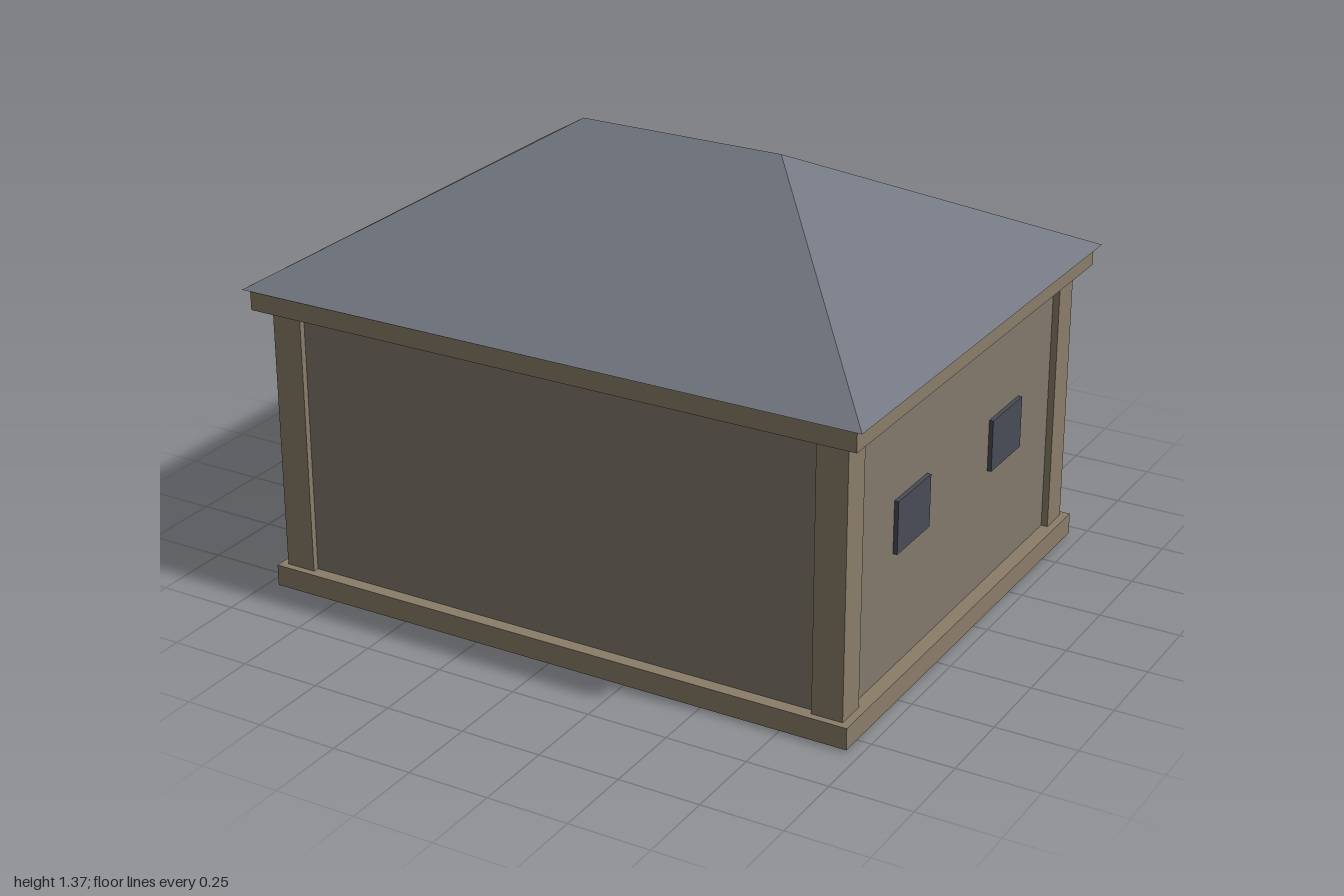
import * as THREE from 'three';

const mat = (color) => new THREE.MeshStandardMaterial({ color });
const M = {
  wall: mat(0x82796c), stone: mat(0x8a7d69), roof: mat(0x70757f), glass: mat(0x484c56),
  iron: mat(0x33353a), wood: mat(0x765a40), sign: mat(0x8f8a7c), lamp: mat(0xb5a887),
};
const ZC = 0.064; // middle of the building in z

// Box given by its limits on each axis
function block(parent, name, material, [x0, x1], [y0, y1], [z0, z1]) {
  const mesh = new THREE.Mesh(new THREE.BoxGeometry(x1 - x0, y1 - y0, z1 - z0), material);
  mesh.position.set((x0 + x1) / 2, (y0 + y1) / 2, (z0 + z1) / 2);
  mesh.name = name;
  parent.add(mesh);
  return mesh;
}

// Hipped roof: four eave corners and a ridge of two points
function hipRoof() {
  const y = 0.965, top = 1.37, z0 = -0.73, z1 = 0.855, zr = 0.0625, r = 0.33;
  const points = [-1, y, z1, 1, y, z1, 1, y, z0, -1, y, z0, -r, top, zr, r, top, zr];
  const faces = [0, 1, 5, 0, 5, 4, 1, 2, 5, 2, 3, 4, 2, 4, 5, 3, 0, 4, 0, 3, 2, 0, 2, 1];
  const indexed = new THREE.BufferGeometry();
  indexed.setAttribute('position', new THREE.Float32BufferAttribute(points, 3));
  indexed.setIndex(faces);
  const geometry = indexed.toNonIndexed();
  geometry.computeVertexNormals();
  const mesh = new THREE.Mesh(geometry, M.roof);
  mesh.name = 'roof';
  return mesh;
}

// Barred window with a sill
function barredWindow(x) {
  const g = new THREE.Group();
  g.name = 'barredWindow';
  block(g, 'windowPane', M.glass, [x - 0.125, x + 0.125], [0.39, 0.6], [-0.672, -0.64]);
  block(g, 'windowSill', M.stone, [x - 0.15, x + 0.15], [0.37, 0.392], [-0.705, -0.64]);
  const bar = new THREE.CylinderGeometry(0.009, 0.009, 0.215, 6);
  for (let i = -2; i <= 2; i++) {
    const mesh = new THREE.Mesh(bar, M.iron);
    mesh.name = 'windowBar';
    mesh.position.set(x + i * 0.052, 0.498, -0.684);
    g.add(mesh);
  }
  return g;
}

// Wall lantern with a flat cap
function lantern(x) {
  const g = new THREE.Group();
  g.name = 'lantern';
  block(g, 'lanternBody', M.lamp, [x - 0.028, x + 0.028], [0.528, 0.614], [-0.76, -0.703]);
  block(g, 'lanternCap', M.iron, [x - 0.036, x + 0.036], [0.614, 0.625], [-0.768, -0.695]);
  block(g, 'lanternBracket', M.iron, [x - 0.008, x + 0.008], [0.614, 0.622], [-0.695, -0.65]);
  return g;
}

export function createModel() {
  const model = new THREE.Group();
  model.name = 'guardHouse';

  // Shell
  block(model, 'plinth', M.stone, [-0.96, 0.96], [0.006, 0.073], [-0.695, 0.822]);
  block(model, 'walls', M.wall, [-0.915, 0.915], [0.07, 0.905], [-0.653, 0.781]);
  block(model, 'cornice', M.stone, [-0.98, 0.98], [0.902, 0.965], [-0.713, 0.843]);
  model.add(hipRoof());

  // Corner pillars and side windows
  for (const sx of [-1, 1]) {
    for (const sz of [-1, 1]) {
      const x = sx * 0.888, z = ZC + sz * 0.688;
      block(model, 'cornerPillar', M.stone, [x - 0.048, x + 0.048], [0, 0.904], [z - 0.048, z + 0.048]);
      const w = ZC + sz * 0.309, out = sx * 0.914;
      block(model, 'sideWindow', M.glass, [out - 0.014, out + 0.014], [0.435, 0.597], [w - 0.102, w + 0.102]);
    }
    model.add(barredWindow(sx * 0.61), lantern(sx * 0.328));
  }

  // Entrance at the back
  block(model, 'door', M.wood, [-0.2, 0.2], [0.073, 0.612], [-0.69, -0.64]);
  block(model, 'lintel', M.stone, [-0.265, 0.265], [0.61, 0.685], [-0.71, -0.64]);
  block(model, 'signBoard', M.sign, [-0.265, 0.265], [0.7, 0.84], [-0.722, -0.703]);
  block(model, 'upperStep', M.stone, [-0.223, 0.223], [0.04, 0.074], [-0.796, -0.67]);
  block(model, 'lowerStep', M.stone, [-0.265, 0.265], [0.005, 0.037], [-0.86, -0.76]);

  // Door studs
  const stud = new THREE.CylinderGeometry(0.01, 0.01, 0.014, 8).rotateX(Math.PI / 2);
  for (const x of [-0.125, 0, 0.125]) {
    for (const y of [0.17, 0.333, 0.497]) {
      const mesh = new THREE.Mesh(stud, M.iron);
      mesh.name = 'doorStud';
      mesh.position.set(x, y, -0.694);
      model.add(mesh);
    }
  }
  return model;
}
